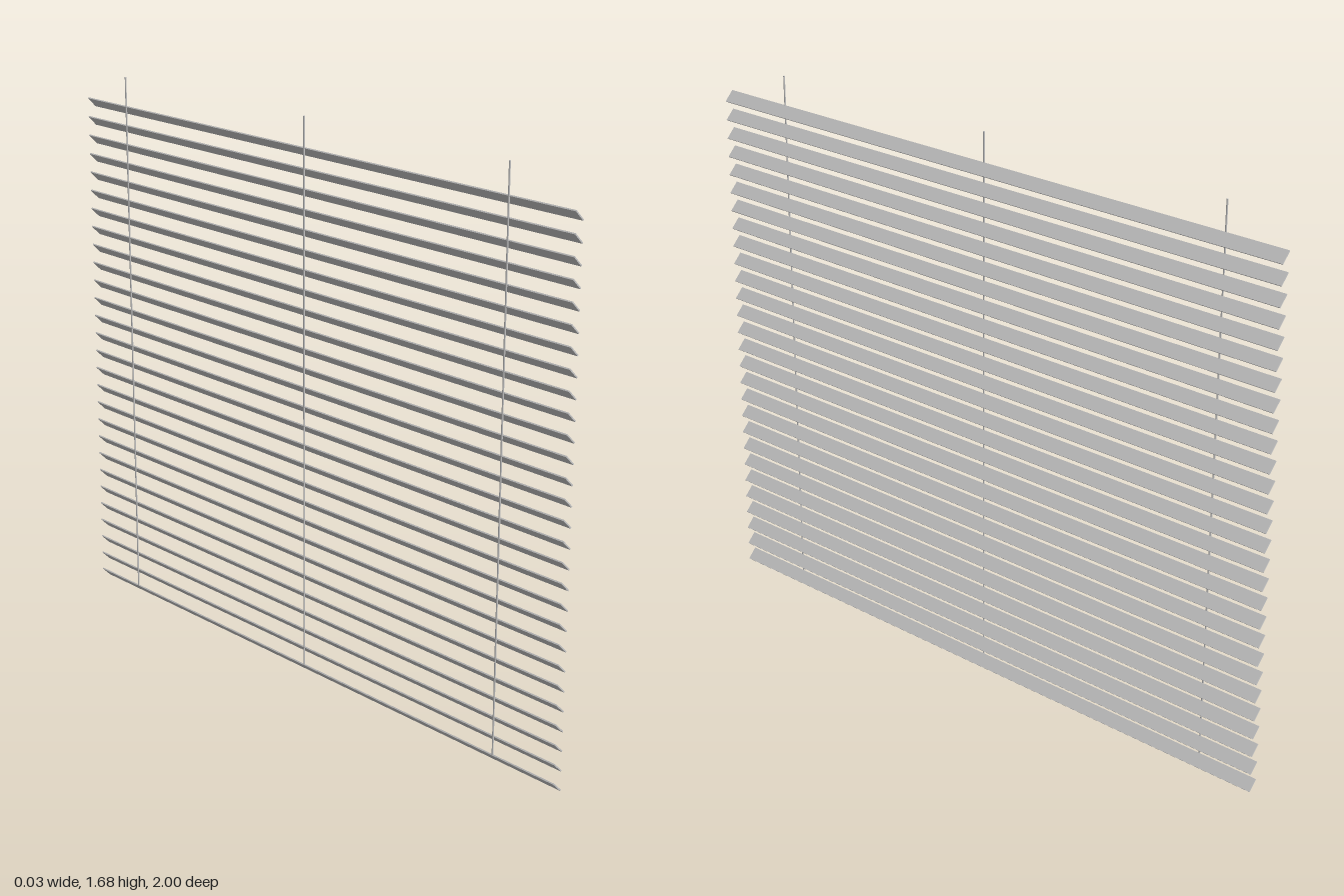
import * as THREE from 'three';

const SLATS = 28;
const PITCH = 0.058;
const LENGTH = 2;
const WIDTH = 0.04;
const THICKNESS = 0.004;
const TILT = -Math.PI / 4; // high edge at -x, low edge at +x
const HALF = (WIDTH + THICKNESS) * Math.SQRT1_2 / 2; // half extent of a tilted slat

export function createModel() {
  const model = new THREE.Group();
  model.name = 'blind';
  const material = new THREE.MeshStandardMaterial({ color: 0xcccccc });

  // Tilted slats, evenly stacked
  const slats = new THREE.Group();
  slats.name = 'slats';
  const slatGeometry = new THREE.BoxGeometry(WIDTH, THICKNESS, LENGTH);
  for (let i = 0; i < SLATS; i++) {
    const slat = new THREE.Mesh(slatGeometry, material);
    slat.name = `slat${i + 1}`;
    slat.rotation.z = TILT;
    slat.position.y = HALF + i * PITCH;
    slats.add(slat);
  }
  model.add(slats);

  // Cords along the upper slat edges, rising above the top slat
  const cords = new THREE.Group();
  cords.name = 'cords';
  const bottom = 0.03, top = 1.685;
  const cordGeometry = new THREE.CylinderGeometry(0.0025, 0.0025, top - bottom, 8);
  [0.775, 0, -0.807].forEach((z, i) => {
    const cord = new THREE.Mesh(cordGeometry, material);
    cord.name = `cord${i + 1}`;
    cord.position.set(-0.0145, (top + bottom) / 2, z);
    cords.add(cord);
  });
  model.add(cords);

  return model;
}
